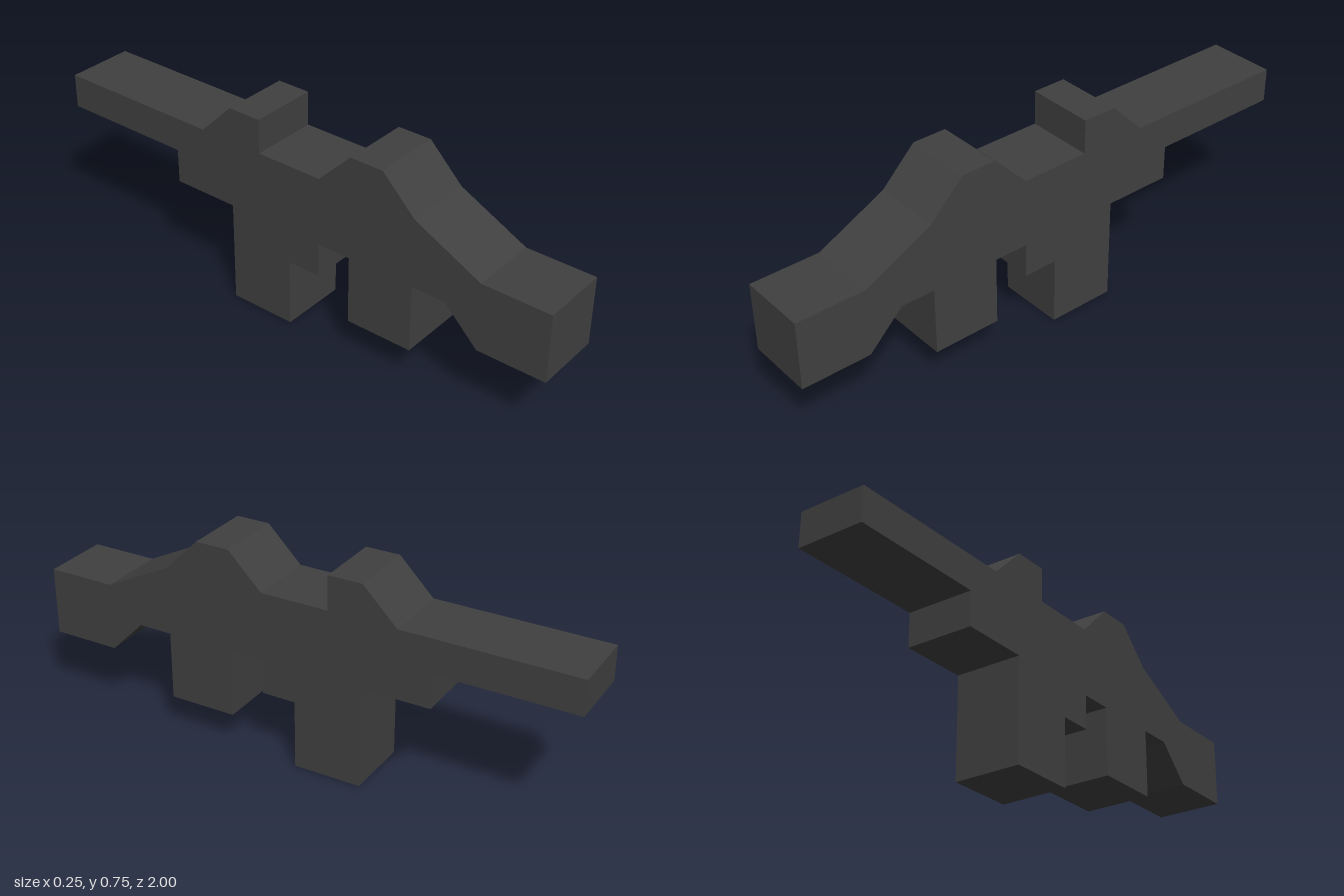
import * as THREE from 'three';

const WIDTH = 0.25;

// Side profiles as [z, y] corners; neighbouring parts meet flush.
const PROFILES = {
  stock: [[1, 0.25], [1, 0.5], [0.75, 0.5], [0.5, 0.625], [0.5, 0.375], [0.625, 0.375], [0.75, 0.25]],
  receiver: [[0.5, 0.375], [0.5, 0.625], [-0.5, 0.625], [-0.5, 0.375]],
  rearHump: [[0.5, 0.625], [0.375, 0.75], [0.25, 0.75], [0.125, 0.625]],
  frontSight: [[-0.125, 0.625], [-0.125, 0.75], [-0.25, 0.75], [-0.375, 0.625]],
  barrel: [[-0.5, 0.5], [-0.5, 0.625], [-1, 0.625], [-1, 0.5]],
  rearLeg: [[0.5, 0.125], [0.5, 0.375], [0.25, 0.375], [0.25, 0.125]],
  legStep: [[0.125, 0.25], [0.125, 0.375], [0, 0.375], [0, 0.25]],
  frontLeg: [[0, 0], [0, 0.375], [-0.25, 0.375], [-0.25, 0]],
};

// Extrude a [z, y] profile across the full width, centred on x = 0.
function slab(points) {
  const shape = new THREE.Shape(points.map(([z, y]) => new THREE.Vector2(z, y)));
  const geometry = new THREE.ExtrudeGeometry(shape, { depth: WIDTH, bevelEnabled: false });
  geometry.translate(0, 0, -WIDTH / 2);
  geometry.rotateY(-Math.PI / 2);
  return geometry;
}

export function createModel() {
  const model = new THREE.Group();
  model.name = 'blockyToy';
  const charcoal = new THREE.MeshStandardMaterial({ color: 0x404040 });
  charcoal.name = 'charcoal';

  for (const [name, points] of Object.entries(PROFILES)) {
    const mesh = new THREE.Mesh(slab(points), charcoal);
    mesh.name = name;
    model.add(mesh);
  }
  return model;
}
